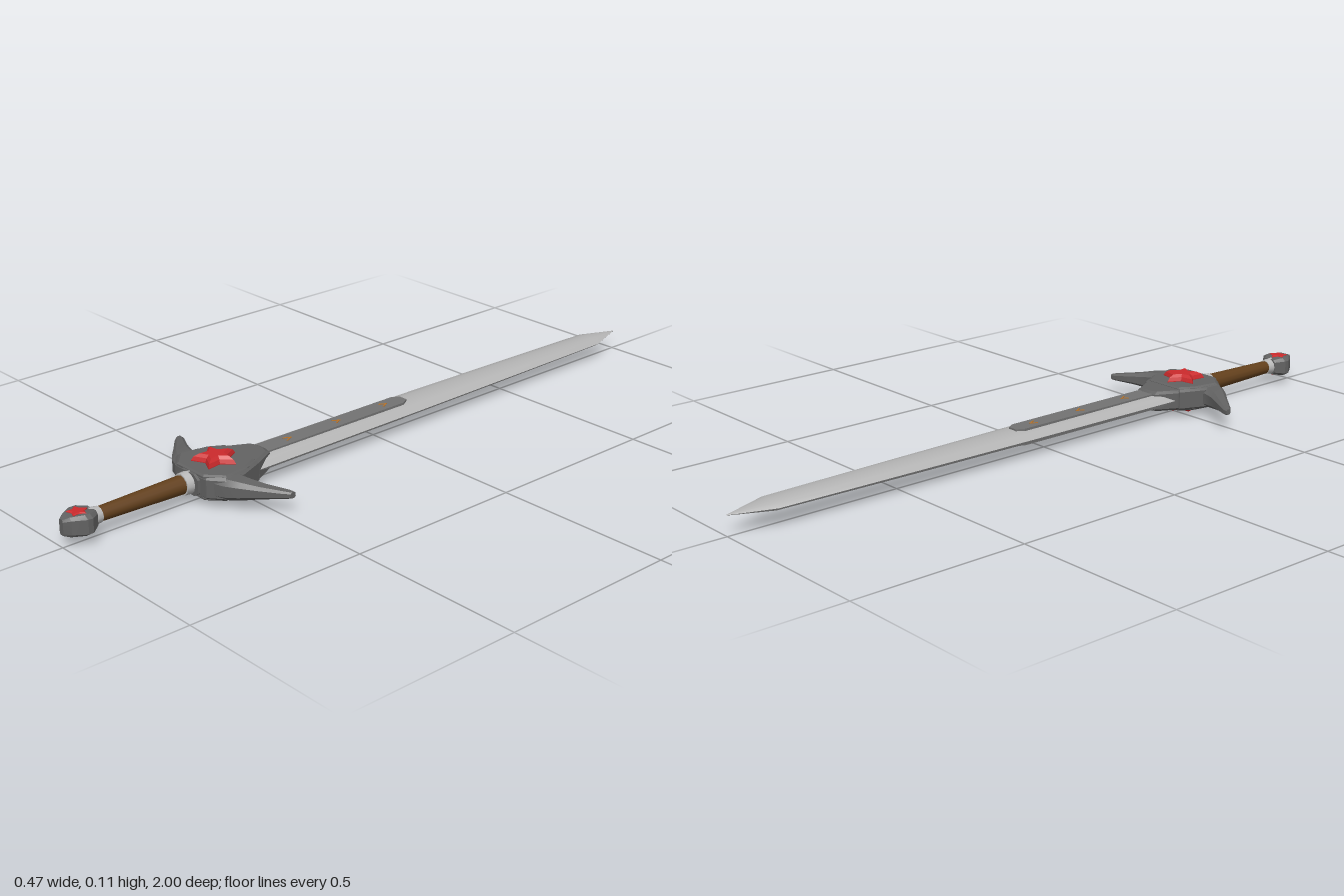
import * as THREE from 'three';
import { toCreasedNormals } from 'three/addons/utils/BufferGeometryUtils.js';

const mat = (name, color) => {
  const m = new THREE.MeshStandardMaterial({ color });
  m.name = name;
  return m;
};

// Skins a list of equal-length rings of [x, y, z] and closes both ends
function loft(rings, crease = 0.3) {
  const n = rings[0].length, pos = [], idx = [];
  rings.forEach(r => r.forEach(p => pos.push(...p)));
  for (let i = 0; i < rings.length - 1; i++) {
    for (let j = 0; j < n; j++) {
      const a = i * n + j, b = i * n + (j + 1) % n;
      idx.push(a, b, a + n, b, b + n, a + n);
    }
  }
  [0, rings.length - 1].forEach((i, end) => {
    const c = [0, 1, 2].map(k => rings[i].reduce((s, p) => s + p[k], 0) / n);
    const ci = pos.length / 3;
    pos.push(...c);
    for (let j = 0; j < n; j++) {
      const a = i * n + j, b = i * n + (j + 1) % n;
      end ? idx.push(a, b, ci) : idx.push(b, a, ci);
    }
  });
  // Turn the faces outward if the enclosed volume is negative
  const at = i => new THREE.Vector3().fromArray(pos, i * 3);
  let volume = 0;
  for (let i = 0; i < idx.length; i += 3) {
    volume += at(idx[i]).dot(at(idx[i + 1]).cross(at(idx[i + 2])));
  }
  if (volume < 0) idx.reverse();
  const g = new THREE.BufferGeometry();
  g.setAttribute('position', new THREE.Float32BufferAttribute(pos, 3));
  g.setIndex(idx);
  return toCreasedNormals(g, crease);
}

// Flat outline in x/z, given as its +x half, turned into a ring at height y
const outline = (half, y, s = 1, cz = 0.54) => [
  ...half, ...half.slice().reverse().map(([x, z]) => [-x, z]),
].map(([x, z]) => [x * s, y, cz + (z - cz) * s]);

// Five-pointed star ring pointing toward the blade
const star = (r, y, cz, inner = 0.52) => Array.from({ length: 10 }, (_, i) => {
  const a = i * Math.PI / 5, q = i % 2 ? r * inner : r;
  return [Math.sin(a) * q, y, cz - Math.cos(a) * q];
});

// Chamfered rectangle used for the blunt metal sections
const chamfered = (w, h, k = 0.6) => [
  [w, h * k], [w * k, h], [-w * k, h], [-w, h * k],
  [-w, -h * k], [-w * k, -h], [w * k, -h], [w, -h * k],
];

export function createModel() {
  const steel = mat('bladeSteel', 0xb4b4b4);
  const fullerGrey = mat('fullerGrey', 0x737373);
  const iron = mat('guardIron', 0x626262);
  const red = mat('redGem', 0xcc2a2c);
  const leather = mat('gripBrown', 0x63401c);
  const collarMetal = mat('collarSilver', 0xbababa);
  const orange = mat('runeOrange', 0xb5722a);

  const model = new THREE.Group();
  model.name = 'sword';
  const body = new THREE.Group();
  body.name = 'swordBody';
  body.position.y = 0.055;
  model.add(body);
  const add = (name, geo, material, parent = body) => {
    const m = new THREE.Mesh(geo, material);
    m.name = name;
    parent.add(m);
    return m;
  };
  // Adds a part and its half-turned twin on the opposite side
  const addPair = (name, geo, material) => {
    add(name, geo, material);
    add(name + 'Opposite', geo, material).rotation.z = Math.PI;
  };
  const rod = (name, rNear, rFar, z0, z1, material) => {
    const g = new THREE.CylinderGeometry(rNear, rFar, z1 - z0, 12);
    g.rotateX(Math.PI / 2);
    add(name, g, material).position.z = (z0 + z1) / 2;
  };

  // Blade: lens section tapering to a sharp tip
  const bladeRing = ([z, w, t]) => [
    [1, 0], [0.72, 0.7], [0.35, 0.95], [0, 1], [-0.35, 0.95], [-0.72, 0.7],
    [-1, 0], [-0.72, -0.7], [-0.35, -0.95], [0, -1], [0.35, -0.95], [0.72, -0.7],
  ].map(([x, y]) => [x * w, y * t, z]);
  add('blade', loft([
    [0.5, 0.064, 0.022], [-0.1, 0.058, 0.019], [-0.45, 0.052, 0.017],
    [-0.88, 0.044, 0.013], [-1, 0.001, 0.001],
  ].map(bladeRing), 0.7), steel);

  // Dark inlay running through both blade faces
  const inlay = [[0.028, 0.45], [0.026, -0.09], [0.014, -0.112]];
  add('fuller', loft([outline(inlay, -0.0235), outline(inlay, 0.0235)]), fullerGrey);

  // Small rune marks on the inlay, two strokes each
  for (const side of [1, -1]) {
    for (const z of [0.3, 0.13, -0.04]) {
      for (const turn of [0.5, -0.5]) {
        const g = new THREE.BoxGeometry(0.004, 0.002, 0.024);
        const m = add('rune', g, orange);
        m.position.set(turn * 0.008, side * 0.0238, z);
        m.rotation.y = turn;
      }
    }
  }

  // Guard: faceted core with thin face plates
  const core = [[0.045, 0.62], [0.064, 0.618], [0.105, 0.585], [0.1, 0.525], [0.07, 0.455]];
  add('guardCore', loft([
    outline(core, -0.031, 0.93), outline(core, -0.024), outline(core, 0.024), outline(core, 0.031, 0.93),
  ]), iron);
  const plate = [[0.055, 0.62], [0.098, 0.58], [0.084, 0.5], [0.06, 0.46]];
  addPair('guardPlate', loft([
    outline(plate, 0.026), outline(plate, 0.031), outline(plate, 0.035, 0.94),
  ]), iron);

  // Pointed langet holding the blade root
  const langet = [[0.075, 0.5], [0.066, 0.45], [0.034, 0.39], [0.014, 0.383]];
  add('langet', loft([
    outline(langet, -0.029, 0.92), outline(langet, -0.022), outline(langet, 0.022), outline(langet, 0.029, 0.92),
  ]), iron);

  // Swept guard arms: [x, near z, far z, half height]
  addPair('guardArm', loft([
    [0.06, 0.515, 0.612, 0.031], [0.105, 0.522, 0.597, 0.028], [0.135, 0.515, 0.576, 0.024],
    [0.17, 0.5, 0.546, 0.017], [0.222, 0.474, 0.503, 0.01], [0.235, 0.473, 0.489, 0.008],
  ].map(([x, z0, z1, h]) => chamfered((z1 - z0) / 2, h, 0.55)
    .map(([z, y]) => [x, y, (z0 + z1) / 2 + z])), 0.5), iron);

  // Raised star gem on each face of the guard
  addPair('guardStar', loft([
    star(0.062, 0.028, 0.538), star(0.062, 0.037, 0.538),
    star(0.055, 0.047, 0.538), star(0.04, 0.0545, 0.538),
  ]), red);

  // Handle
  const socket = chamfered(0.044, 0.031);
  add('gripSocket', loft([
    socket.map(([x, y]) => [x, y, 0.6]), socket.map(([x, y]) => [x * 0.95, y * 0.95, 0.627]),
  ]), iron);
  rod('upperCollar', 0.029, 0.031, 0.615, 0.648, collarMetal);
  rod('grip', 0.019, 0.025, 0.645, 0.9, leather);
  rod('lowerCollar', 0.025, 0.021, 0.893, 0.922, collarMetal);

  // Faceted pommel narrowing to a blunt wedge, with star insets
  add('pommel', loft([
    [0.912, 0.024, 0.022], [0.938, 0.044, 0.027], [0.952, 0.044, 0.0275],
    [0.985, 0.022, 0.026], [1, 0.008, 0.021],
  ].map(([z, w, h]) => chamfered(w, h, 0.7).map(([x, y]) => [x, y, z]))), iron);
  addPair('pommelStar', loft([
    star(0.028, 0.0245, 0.953, 0.6), star(0.028, 0.028, 0.953, 0.6), star(0.022, 0.03, 0.953, 0.6),
  ]), red);

  return model;
}
